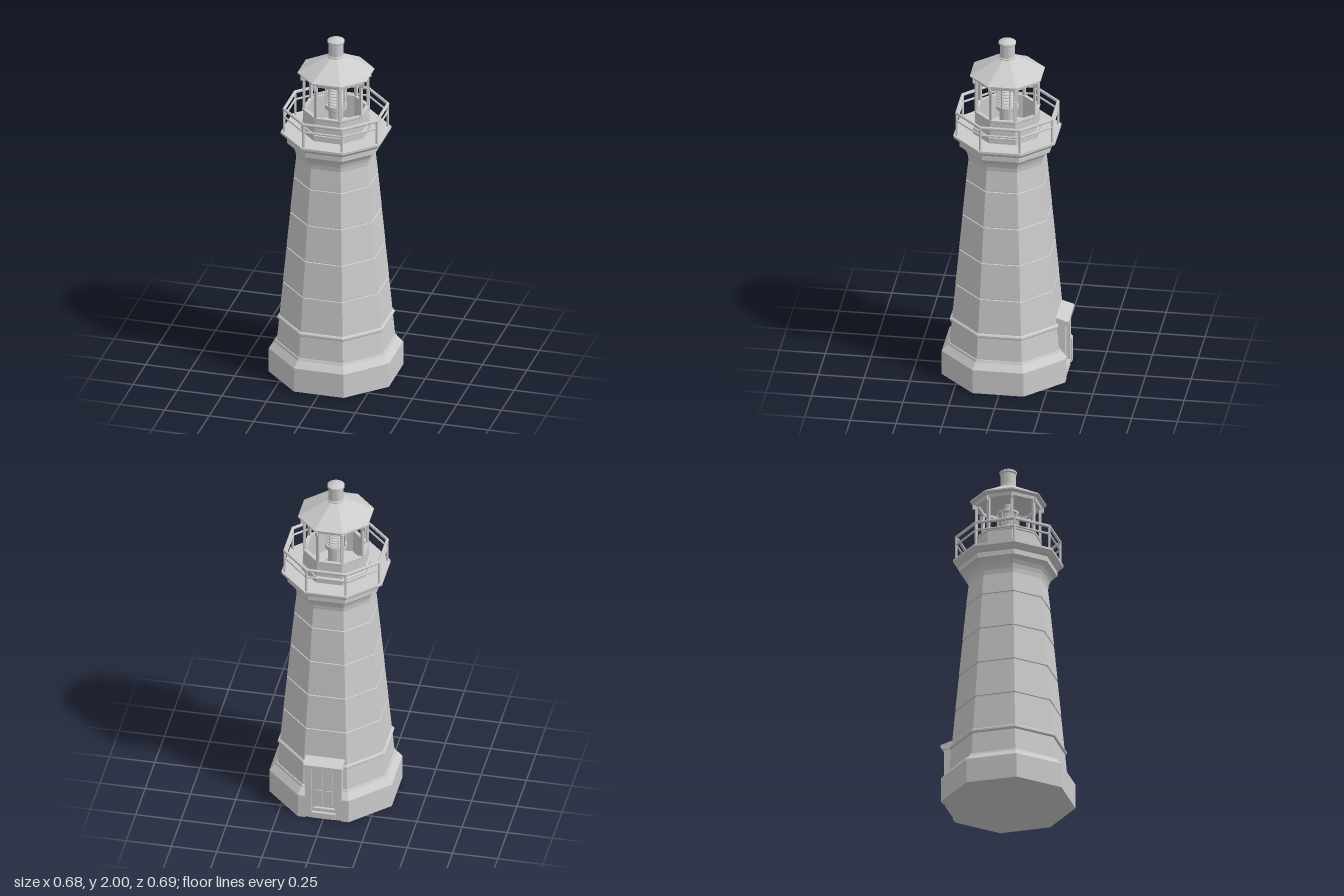
import * as THREE from 'three';
import { toCreasedNormals } from 'three/addons/utils/BufferGeometryUtils.js';

const flat = new THREE.MeshStandardMaterial({ color: 0xcccccc, flatShading: true });
const smooth = new THREE.MeshStandardMaterial({ color: 0xcccccc });
const K = 1 / Math.cos(Math.PI / 8); // apothem to corner radius
const T = Math.tan(Math.PI / 8);     // apothem to half side length

export function createModel() {
  const model = new THREE.Group();
  const tower = new THREE.Group();
  tower.name = 'lighthouse';
  tower.position.z = 0.005;
  model.add(tower);

  const add = (name, geometry, material = flat, parent = tower) => {
    const mesh = new THREE.Mesh(geometry, material);
    mesh.name = name;
    parent.add(mesh);
    return mesh;
  };
  // Octagonal solid from [apothem, height] points, flat sides facing the axes
  const octagon = (name, profile, start = 0, sides = 8) =>
    add(name, new THREE.LatheGeometry(profile.map(([a, y]) => new THREE.Vector2(a * K, y)),
      sides, Math.PI / 8 + start, sides * Math.PI / 4));
  const round = (name, profile) =>
    add(name, toCreasedNormals(new THREE.LatheGeometry(
      profile.map(([r, y]) => new THREE.Vector2(r, y)), 32), 0.6), smooth);
  const box = (name, w, h, d, x, y, z, parent = tower) => {
    const mesh = add(name, new THREE.BoxGeometry(w, h, d), flat, parent);
    mesh.position.set(x, y, z);
    return mesh;
  };
  // Back-facing prism: [distance, height] section running from x0 to x1
  const backPrism = (name, section, x0, x1) => {
    const shape = new THREE.Shape(section.map(([u, y]) => new THREE.Vector2(u, y)));
    const g = new THREE.ExtrudeGeometry(shape, { depth: 1, bevelEnabled: false });
    const p = g.attributes.position;
    for (let i = 0; i < p.count; i++) {
      const u = p.getX(i), t = p.getZ(i);
      p.setXYZ(i, THREE.MathUtils.lerp(x0(u), x1(u), t), p.getY(i), -u);
    }
    g.computeVertexNormals();
    return add(name, g);
  };

  // Plinth on seven sides, and two stubs beside the doorway on the eighth
  const plinth = [[0.27, 0], [0.338, 0], [0.338, 0.14], [0.308, 0.175], [0.303, 0.187], [0.27, 0.187]];
  octagon('plinth', plinth, Math.PI, 7);
  backPrism('plinthLeftStub', plinth, () => 0.1, u => u * T);
  backPrism('plinthRightStub', plinth, u => -u * T, () => -0.1);

  // Tapering shaft with narrow joints between its courses, then a curved flare
  const wall = y => 0.298 - (y - 0.18) * 0.0865;
  const shaft = [[0, 0], [0.295, 0], [wall(0.18), 0.18]];
  for (const y of [0.54, 0.75, 0.96, 1.17]) {
    shaft.push([wall(y), y - 0.005], [wall(y) - 0.005, y - 0.003],
      [wall(y) - 0.005, y + 0.003], [wall(y), y + 0.005]);
  }
  shaft.push([0.2, 1.29], [0.203, 1.315], [0.21, 1.338], [0.222, 1.358], [0.238, 1.376], [0, 1.376]);
  octagon('shaft', shaft);
  octagon('stringCourse', [[0.27, 0.312], [0.29, 0.315], [0.296, 0.321], [0.296, 0.331],
    [0.29, 0.338], [0.27, 0.341]]);

  // Gallery deck
  octagon('galleryDeck', [[0, 1.376], [0.247, 1.376], [0.247, 1.405], [0.256, 1.41],
    [0.272, 1.428], [0.278, 1.432], [0.278, 1.445], [0, 1.445]]);

  // Railing
  const railing = new THREE.Group();
  railing.name = 'railing';
  tower.add(railing);
  for (const [y, r] of [[1.58, 0.009], [1.535, 0.006]]) {
    const g = toCreasedNormals(new THREE.TorusGeometry(0.261 * K, r, 12, 8)
      .rotateZ(Math.PI / 8).rotateX(-Math.PI / 2), 0.6);
    add('rail', g, smooth, railing).position.y = y;
  }
  for (let i = 0; i < 8; i++) {
    const a = Math.PI / 8 + i * Math.PI / 4;
    const post = add('railPost', new THREE.CylinderGeometry(0.007, 0.007, 0.14, 12), smooth, railing);
    post.position.set(Math.sin(a) * 0.261 * K, 1.51, Math.cos(a) * 0.261 * K);
  }

  // Lantern room: low wall, corner posts with eave brackets, head ring
  octagon('lanternWall', [[0.176, 1.444], [0.176, 1.478], [0.168, 1.483], [0.166, 1.565],
    [0.17, 1.569], [0.17, 1.58], [0.15, 1.58], [0.15, 1.444]]);
  for (let i = 0; i < 8; i++) {
    const corner = new THREE.Group();
    corner.name = 'lanternCorner';
    corner.rotation.y = Math.PI / 8 + i * Math.PI / 4;
    tower.add(corner);
    box('lanternPost', 0.016, 0.2, 0.014, 0, 1.675, 0.16 * K, corner);
    box('eaveBracket', 0.012, 0.025, 0.022, 0, 1.763, 0.168 * K, corner);
  }
  octagon('lanternHead', [[0.15, 1.79], [0.15, 1.767], [0.168, 1.767], [0.172, 1.79]]);

  // Lens with stacked rings on a pedestal
  round('lensPedestal', [[0, 1.444], [0.06, 1.444], [0.06, 1.47], [0.042, 1.48], [0.042, 1.565],
    [0.06, 1.575], [0.06, 1.6], [0, 1.6]]);
  round('lensCore', [[0, 1.6], [0.036, 1.6], [0.036, 1.73], [0, 1.73]]);
  for (let i = 0; i < 7; i++) {
    const y = 1.606 + i * 0.0175;
    round('lensRing', [[0.034, y + 0.008], [0.053, y], [0.053, y + 0.004], [0.034, y + 0.014]]);
  }
  round('lensCap', [[0, 1.728], [0.058, 1.728], [0.058, 1.74], [0.02, 1.76], [0.02, 1.785]]);
  for (let i = 0; i < 8; i++) {
    const a = Math.PI / 8 + i * Math.PI / 4;
    box('lensFrameBar', 0.006, 0.135, 0.006, Math.sin(a) * 0.057, 1.665, Math.cos(a) * 0.057)
      .rotation.y = a;
  }

  // Roof and vent
  octagon('roof', [[0, 1.785], [0.178, 1.785], [0.193, 1.792], [0.193, 1.799], [0.042, 1.888], [0, 1.888]]);
  round('roofVent', [[0.046, 1.875], [0.046, 1.892], [0.041, 1.897], [0.041, 1.965],
    [0.047, 1.97], [0.047, 1.981], [0.04, 1.986], [0, 2]]);

  // Doorway at the back: jambs, door, step and sloping canopy
  for (const s of [-1, 1]) {
    box('doorJamb', 0.034, 0.334, 0.075, s * 0.083, 0.167, -0.294);
    box('doorFrameSide', 0.012, 0.3, 0.03, s * 0.06, 0.15, -0.297);
    box('doorPanel', 0.034, 0.1, 0.006, s * 0.026, 0.245, -0.304);
    box('doorPanel', 0.034, 0.1, 0.006, s * 0.026, 0.115, -0.304);
  }
  box('door', 0.112, 0.3, 0.03, 0, 0.15, -0.287);
  box('doorLintel', 0.132, 0.035, 0.045, 0, 0.314, -0.297);
  box('doorStep', 0.132, 0.035, 0.068, 0, 0.0175, -0.3);
  box('upperDoorStep', 0.132, 0.055, 0.045, 0, 0.0275, -0.295);
  backPrism('doorCanopy', [[0.27, 0.325], [0.335, 0.325], [0.35, 0.336], [0.35, 0.352], [0.27, 0.375]],
    () => -0.108, () => 0.108);

  return model;
}
